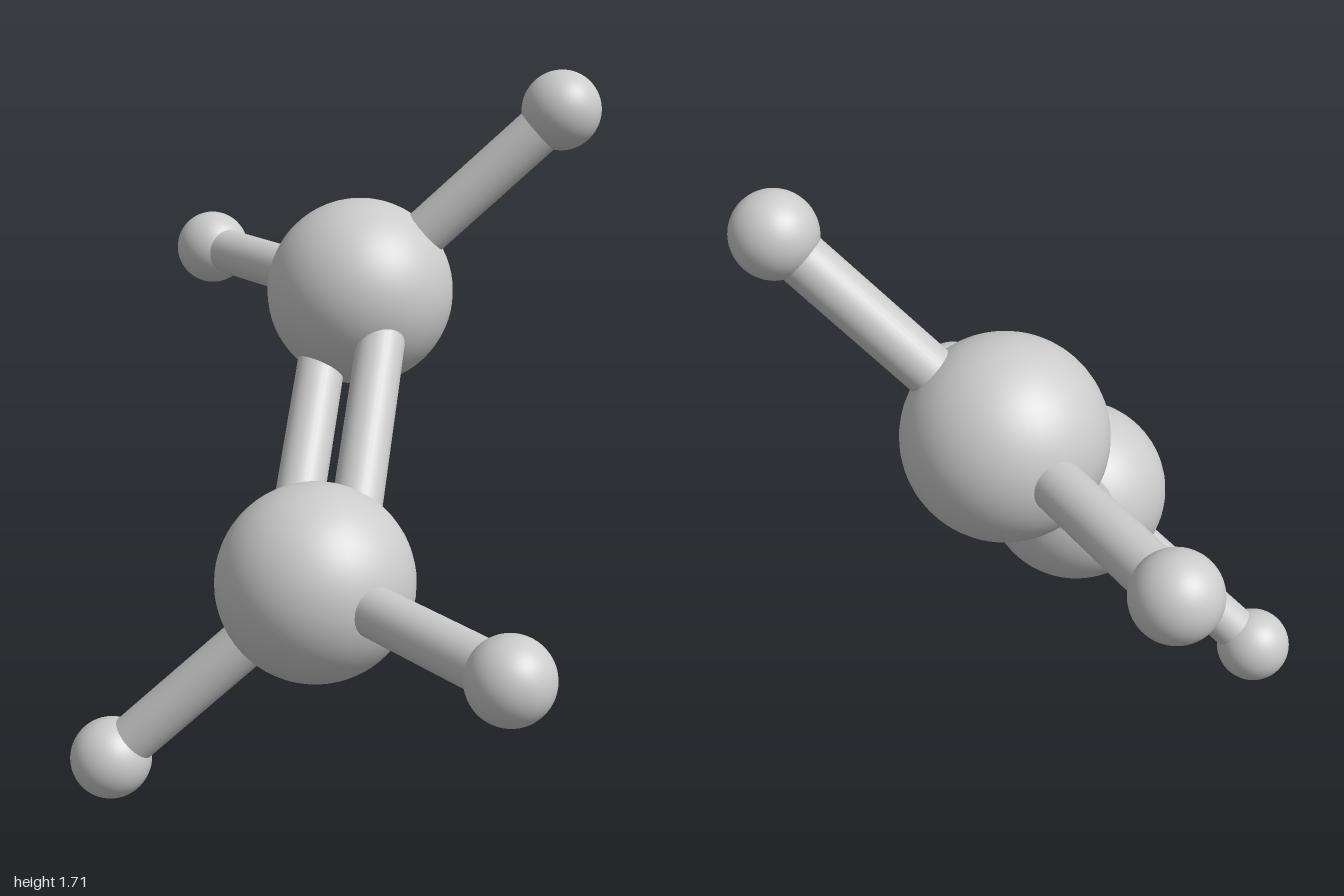
import * as THREE from 'three';

const material = new THREE.MeshStandardMaterial({ color: 0xcccccc });
const CENTRE = new THREE.Vector3(0, 0.857, 0);
const BOND_RADIUS = 0.061;
const BOND_OFFSET = 0.096;

function ball(name, position, radius) {
  const mesh = new THREE.Mesh(new THREE.SphereGeometry(radius, 48, 32), material);
  mesh.name = name;
  mesh.position.copy(position);
  return mesh;
}

// Rod running from one point to another
function rod(name, from, to) {
  const axis = to.clone().sub(from);
  const mesh = new THREE.Mesh(
    new THREE.CylinderGeometry(BOND_RADIUS, BOND_RADIUS, axis.length(), 32), material);
  mesh.name = name;
  mesh.position.copy(from).add(to).multiplyScalar(0.5);
  mesh.quaternion.setFromUnitVectors(new THREE.Vector3(0, 1, 0), axis.normalize());
  return mesh;
}

export function createModel() {
  const model = new THREE.Group();
  model.name = 'molecule';

  // Offsets from the centre; the other half is the point reflection
  const large = new THREE.Vector3(-0.21, 0.285, -0.231);
  const smallAtoms = {
    side: new THREE.Vector3(-0.9, 0.294, -0.237),
    end: new THREE.Vector3(0.122, 0.755, -0.61),
  };

  for (const [half, sign] of [['upper', 1], ['lower', -1]]) {
    const place = (v) => v.clone().multiplyScalar(sign).add(CENTRE);
    const hub = place(large);
    model.add(ball(`${half}LargeAtom`, hub, 0.24));
    for (const [where, offset] of Object.entries(smallAtoms)) {
      const tip = place(offset);
      model.add(ball(`${half}SmallAtom_${where}`, tip, 0.1));
      model.add(rod(`${half}SingleBond_${where}`, hub, tip));
    }
  }

  // Double bond: two parallel rods, spread within the plane of the atoms
  const axis = large.clone().normalize();
  const spread = smallAtoms.side.clone().sub(large);
  spread.addScaledVector(axis, -spread.dot(axis)).setLength(BOND_OFFSET);
  for (const sign of [1, -1]) {
    const middle = CENTRE.clone().addScaledVector(spread, sign);
    model.add(rod(sign > 0 ? 'doubleBondA' : 'doubleBondB',
      middle.clone().add(large), middle.clone().sub(large)));
  }

  return model;
}
